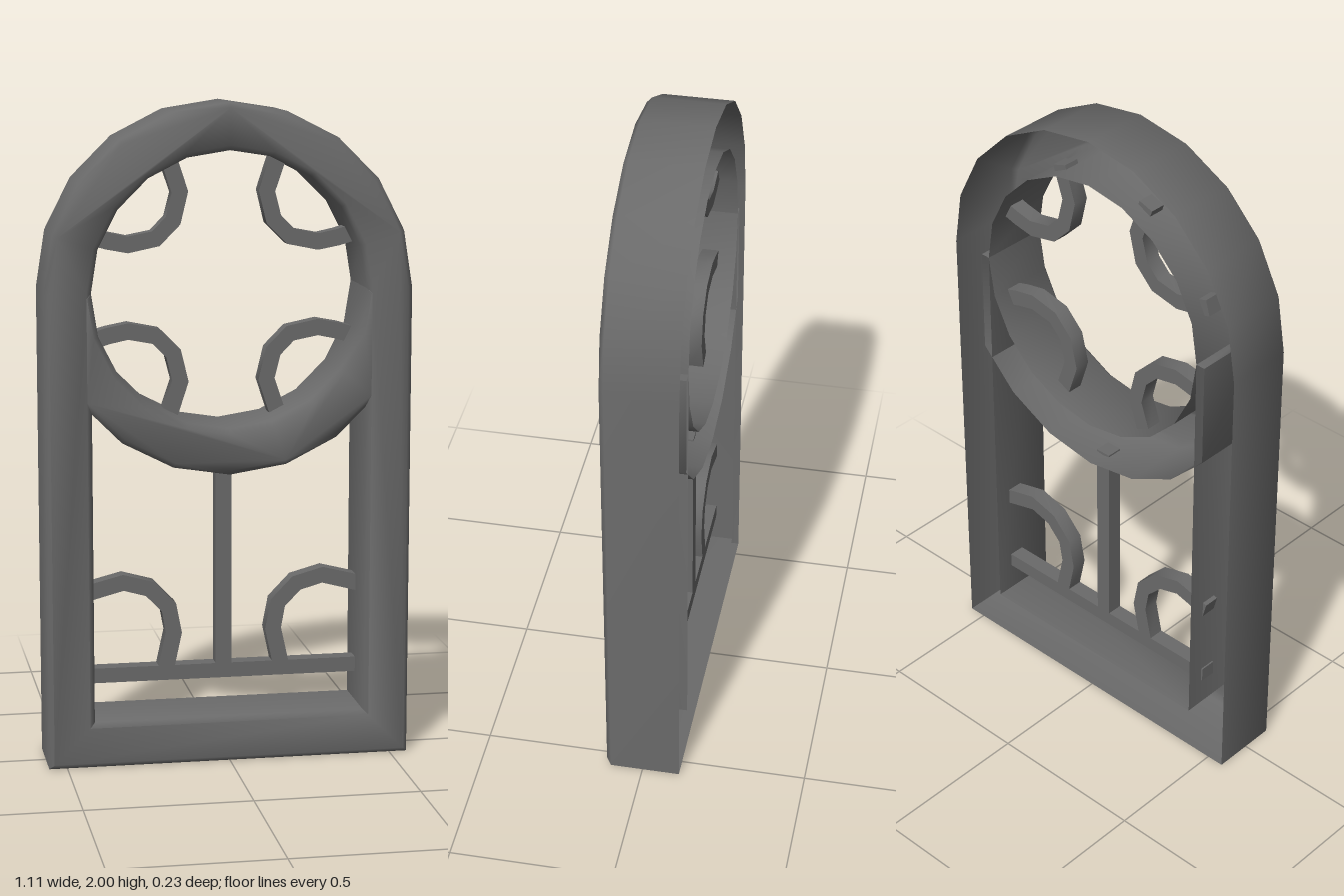
import * as THREE from 'three';
import { toCreasedNormals } from 'three/addons/utils/BufferGeometryUtils.js';

const R = 0.555, r = 0.415, CY = 1.445, BACK = -0.115, FRONT = 0.115, BEVEL = 0.015;
const SILL = 0.14, BAR = 0.05, BAR_Z = -0.035;
const material = new THREE.MeshStandardMaterial({ color: 0x6a6a6a, side: THREE.DoubleSide });
const vec = (x, y) => new THREE.Vector2(x, y);

// Points of a 20-sided circle around the rose centre, from step a to step b
function arc(radius, a, b) {
  const pts = [];
  for (let i = a; i <= b; i++) {
    const t = (i * Math.PI) / 10;
    pts.push(vec(radius * Math.cos(t), CY + radius * Math.sin(t)));
  }
  return pts;
}

// Extrusion with a chamfered front; the triangles behind z = 0 are dropped to leave the back open
function shellGeometry(shape) {
  const p = new THREE.ExtrudeGeometry(shape, {
    depth: FRONT - BACK - BEVEL, bevelEnabled: true, bevelSegments: 1,
    bevelSize: BEVEL, bevelThickness: BEVEL, bevelOffset: -BEVEL,
  }).attributes.position;
  const kept = [];
  for (let i = 0; i < p.count; i += 3) {
    if (Math.min(p.getZ(i), p.getZ(i + 1), p.getZ(i + 2)) < -1e-4) continue;
    for (let k = i; k < i + 3; k++) kept.push(p.getX(k), p.getY(k), p.getZ(k) + BACK);
  }
  const shell = new THREE.BufferGeometry();
  shell.setAttribute('position', new THREE.Float32BufferAttribute(kept, 3));
  return toCreasedNormals(shell, 0.9);
}

// Arched surround with one arched opening
function frameGeometry() {
  const shape = new THREE.Shape([vec(-R, 0), vec(R, 0), ...arc(R, 0, 10)]);
  shape.holes.push(new THREE.Path([vec(-r, SILL), vec(r, SILL), ...arc(r, 0, 10)]));
  return shellGeometry(shape);
}

// Lower half of the rose ring, its ends let into the jambs
function ringGeometry() {
  const end = r + 2 * BEVEL, meetY = 1.115;
  return shellGeometry(new THREE.Shape([
    vec(-end, CY), vec(-end, meetY), ...arc(R, 13, 17), vec(end, meetY), vec(end, CY),
    ...arc(r, 10, 20).reverse(),
  ]));
}

// Flat ribbon of constant width that follows a centre line
function curlGeometry(pts) {
  const left = [], right = [];
  pts.forEach((p, i) => {
    const d = pts[Math.min(i + 1, pts.length - 1)].clone().sub(pts[Math.max(i - 1, 0)]).normalize();
    const n = vec(-d.y, d.x).multiplyScalar(BAR / 2);
    left.push(p.clone().add(n));
    right.unshift(p.clone().sub(n));
  });
  const geometry = new THREE.ExtrudeGeometry(new THREE.Shape([...left, ...right]), {
    depth: BAR, bevelEnabled: false,
  });
  geometry.translate(0, 0, BAR_Z - BAR / 2);
  return toCreasedNormals(geometry, 0.8);
}

export function createModel() {
  const group = new THREE.Group();
  const add = (name, geometry, y = 0, z = 0) => {
    const mesh = new THREE.Mesh(geometry, material);
    mesh.name = name;
    mesh.position.set(0, y, z);
    group.add(mesh);
  };

  add('frame', frameGeometry());
  add('roseRing', ringGeometry());

  // Straight glazing bars, ends let into the frame
  add('crossBar', new THREE.BoxGeometry(2 * r + 0.01, 0.046, BAR), 0.254, BAR_Z);
  add('mullion', new THREE.BoxGeometry(BAR, 0.665, BAR), 0.567, BAR_Z);

  // Curls on the +x half, mirrored to the other side
  const roseCurl = [[0.405, 1.603], [0.35, 1.587], [0.29, 1.575], [0.205, 1.592],
    [0.153, 1.645], [0.132, 1.73], [0.168, 1.838]];
  const lowerCurl = [[0.422, 0.514], [0.31, 0.543], [0.228, 0.52],
    [0.17, 0.46], [0.155, 0.38], [0.18, 0.265]];
  for (const s of [1, -1]) {
    const side = s > 0 ? 'Left' : 'Right';
    const curl = (pts, fy = (y) => y) => curlGeometry(pts.map(([x, y]) => vec(s * x, fy(y))));
    add('upperRoseCurl' + side, curl(roseCurl));
    add('lowerRoseCurl' + side, curl(roseCurl, (y) => 2 * CY - y));
    add('lowerCurl' + side, curl(lowerCurl));
  }
  return group;
}
